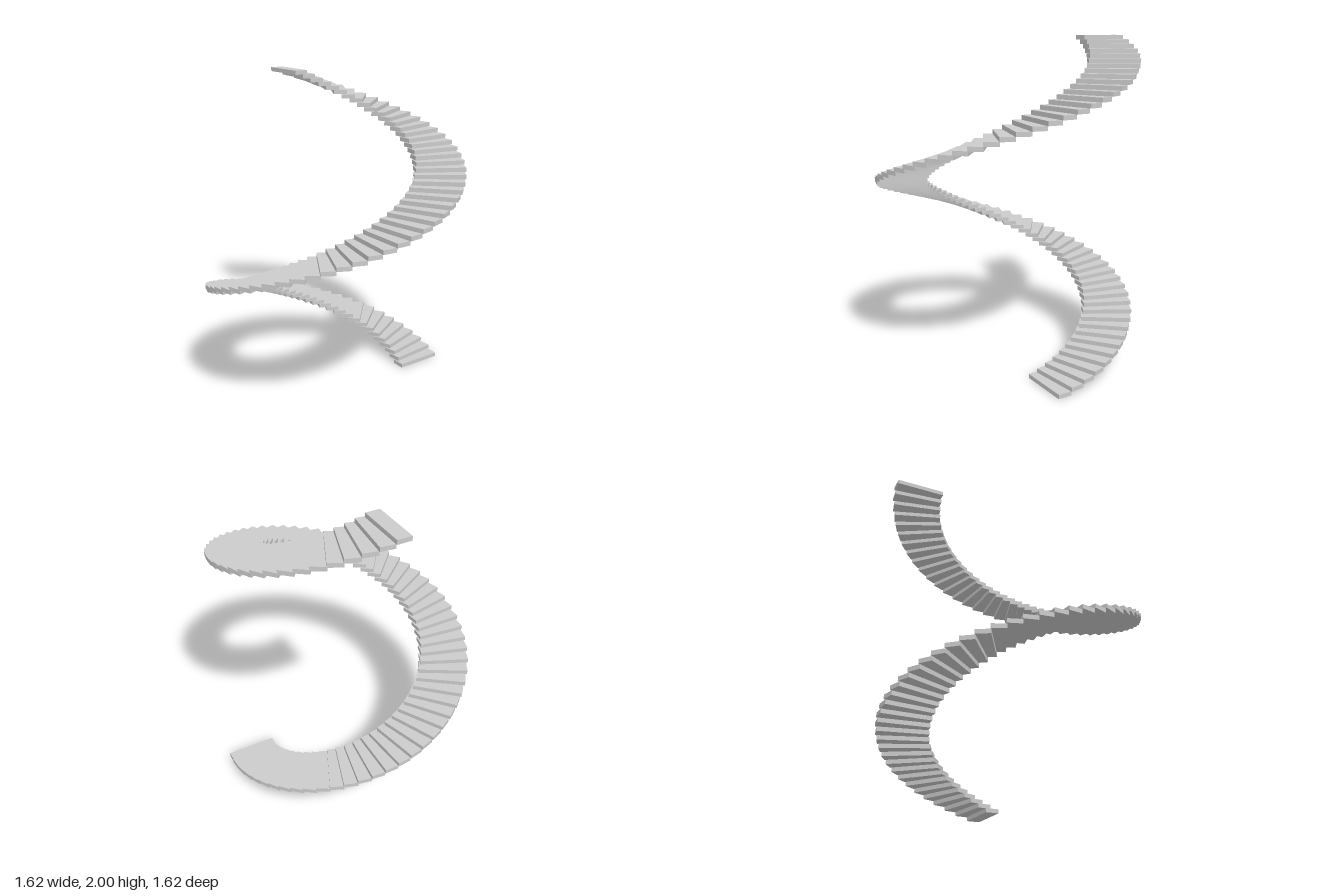
import * as THREE from 'three';

const STEPS = 76;
const RISE = 2 / STEPS;                        // treads stack directly on each other
const TURN = THREE.MathUtils.degToRad(450) / (STEPS - 1);
const INNER = 0.49, OUTER = 0.80;              // radial reach of a tread
const BACK = 0.05, FRONT = 0.137;              // tread sits to one side of its radius

export function createModel() {
  const staircase = new THREE.Group();
  staircase.name = 'spiralStaircase';
  const material = new THREE.MeshStandardMaterial({ color: 0xcccccc });

  // One tread, offset from the spiral axis so a plain turn places it
  const tread = new THREE.BoxGeometry(OUTER - INNER, RISE, FRONT - BACK);
  tread.translate((INNER + OUTER) / 2, RISE / 2, (BACK + FRONT) / 2);

  // Treads climb one and a quarter turns
  for (let i = 0; i < STEPS; i++) {
    const step = new THREE.Mesh(tread, material);
    step.name = `step${i + 1}`;
    step.position.y = i * RISE;
    step.rotation.y = i * TURN;
    staircase.add(step);
  }
  return staircase;
}
